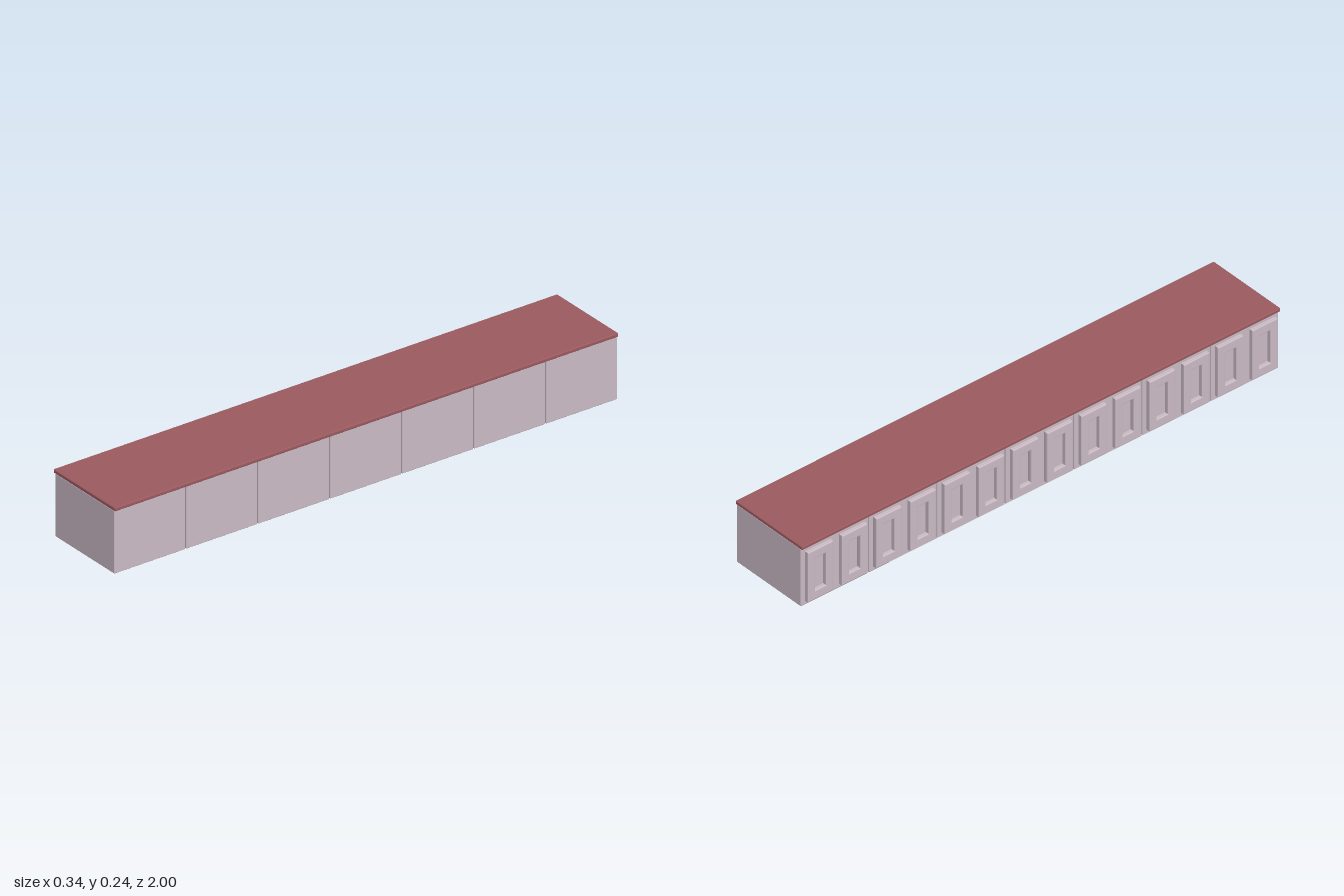
import * as THREE from 'three';
import { RoundedBoxGeometry } from 'three/addons/geometries/RoundedBoxGeometry.js';

const bodyMat = new THREE.MeshStandardMaterial({ color: 0xcabac4 });
const topMat = new THREE.MeshStandardMaterial({ color: 0x9b5a5f });

function roundedBox(name, x0, x1, y0, y1, length, z, radius, material) {
  const mesh = new THREE.Mesh(new RoundedBoxGeometry(x1 - x0, y1 - y0, length, 2, radius), material);
  mesh.position.set((x0 + x1) / 2, (y0 + y1) / 2, z);
  mesh.name = name;
  return mesh;
}

function rectangle(path, halfW, halfH) {
  path.moveTo(-halfW, -halfH);
  path.lineTo(halfW, -halfH);
  path.lineTo(halfW, halfH);
  path.lineTo(-halfW, halfH);
  path.closePath();
  return path;
}

// Door frame with a recessed centre and softly bevelled edges, facing -x
function doorGeometry() {
  const bevel = 0.003;
  const shape = rectangle(new THREE.Shape(), 0.053 - bevel, 0.098 - bevel);
  shape.holes.push(rectangle(new THREE.Path(), 0.023 + bevel, 0.064 + bevel));
  const geometry = new THREE.ExtrudeGeometry(shape, {
    depth: 0.012, bevelEnabled: true, bevelThickness: bevel, bevelSize: bevel, bevelSegments: 2,
  });
  geometry.rotateY(-Math.PI / 2);
  return geometry;
}

export function createModel() {
  const model = new THREE.Group();
  model.name = 'counter';

  const modules = 7;
  const pitch = 2 / modules;
  const door = doorGeometry();

  for (let i = 0; i < modules; i++) {
    const z = -1 + pitch * (i + 0.5);
    const cabinet = new THREE.Group();
    cabinet.name = 'cabinet';
    cabinet.add(roundedBox('cabinetBody', -0.154, 0.163, 0, 0.228, pitch - 0.003, z, 0.003, bodyMat));

    // Pair of doors on each cabinet
    for (const side of [-1, 1]) {
      const mesh = new THREE.Mesh(door, bodyMat);
      mesh.name = 'door';
      mesh.position.set(-0.155, 0.114, z + side * pitch / 4);
      cabinet.add(mesh);
    }
    model.add(cabinet);
  }

  // Continuous worktop
  model.add(roundedBox('worktop', -0.163, 0.168, 0.227, 0.241, 2, 0, 0.004, topMat));
  return model;
}
